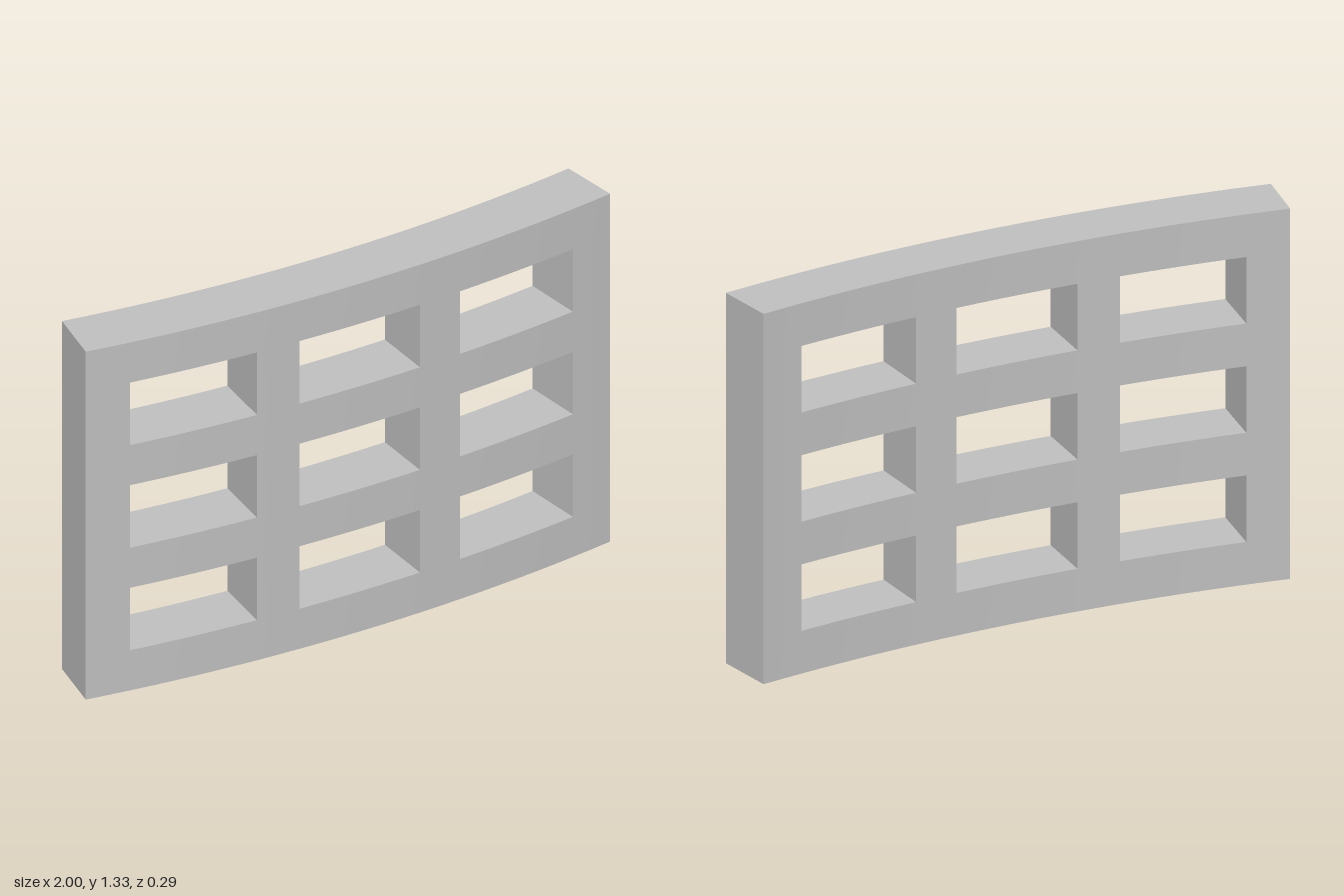
import * as THREE from 'three';
import { toCreasedNormals } from 'three/addons/utils/BufferGeometryUtils.js';

// Curved slab: arc in plan, pierced by a 3 x 3 grid of openings
const FRONT_R = 6.29, BACK_R = 6.077, FRONT_Z = 0.145;
const RIB_ANGLE = 0.025, HOLE_ANGLE = 0.0732;
const RAIL = 0.153, HOLE_HEIGHT = 0.2385;

// Running edges of alternating solid / open bands
function bandEdges(start, solid, open) {
  const edges = [start];
  for (let i = 0; i < 7; i++) edges.push(edges[i] + (i % 2 ? open : solid));
  return edges;
}

function createCurvedGrid() {
  const positions = [];
  const half = (4 * RIB_ANGLE + 3 * HOLE_ANGLE) / 2;
  const angles = bandEdges(-half, RIB_ANGLE, HOLE_ANGLE);
  const heights = bandEdges(0, RAIL, HOLE_HEIGHT);

  const point = (a, r, y) => [r * Math.sin(a), y, r * Math.cos(a) - FRONT_R + FRONT_Z];
  const quad = (a, b, c, d) => positions.push(...a, ...b, ...c, ...a, ...c, ...d);
  const solid = (i, j) => i >= 0 && i < 7 && j >= 0 && j < 7 && !(i % 2 && j % 2);

  for (let i = 0; i < 7; i++) {
    const steps = i % 2 ? 6 : 2;
    for (let j = 0; j < 7; j++) {
      if (!solid(i, j)) continue;
      const y0 = heights[j], y1 = heights[j + 1];
      for (let s = 0; s < steps; s++) {
        const a0 = THREE.MathUtils.lerp(angles[i], angles[i + 1], s / steps);
        const a1 = THREE.MathUtils.lerp(angles[i], angles[i + 1], (s + 1) / steps);
        const f = (a, y) => point(a, FRONT_R, y);
        const b = (a, y) => point(a, BACK_R, y);
        // Front and back skins
        quad(f(a0, y0), f(a1, y0), f(a1, y1), f(a0, y1));
        quad(b(a1, y0), b(a0, y0), b(a0, y1), b(a1, y1));
        // Upper and lower walls
        if (!solid(i, j + 1)) quad(f(a0, y1), f(a1, y1), b(a1, y1), b(a0, y1));
        if (!solid(i, j - 1)) quad(b(a0, y0), b(a1, y0), f(a1, y0), f(a0, y0));
        // Radial side walls
        if (s === steps - 1 && !solid(i + 1, j)) quad(f(a1, y0), b(a1, y0), b(a1, y1), f(a1, y1));
        if (s === 0 && !solid(i - 1, j)) quad(b(a0, y0), f(a0, y0), f(a0, y1), b(a0, y1));
      }
    }
  }
  const geometry = new THREE.BufferGeometry();
  geometry.setAttribute('position', new THREE.Float32BufferAttribute(positions, 3));
  return toCreasedNormals(geometry, 0.5);
}

export function createModel() {
  const group = new THREE.Group();
  group.name = 'curvedGridPanel';
  const grey = new THREE.MeshStandardMaterial({ color: 0xc0c0c0 });
  grey.name = 'light grey';
  const panel = new THREE.Mesh(createCurvedGrid(), grey);
  panel.name = 'panel';
  group.add(panel);
  return group;
}
